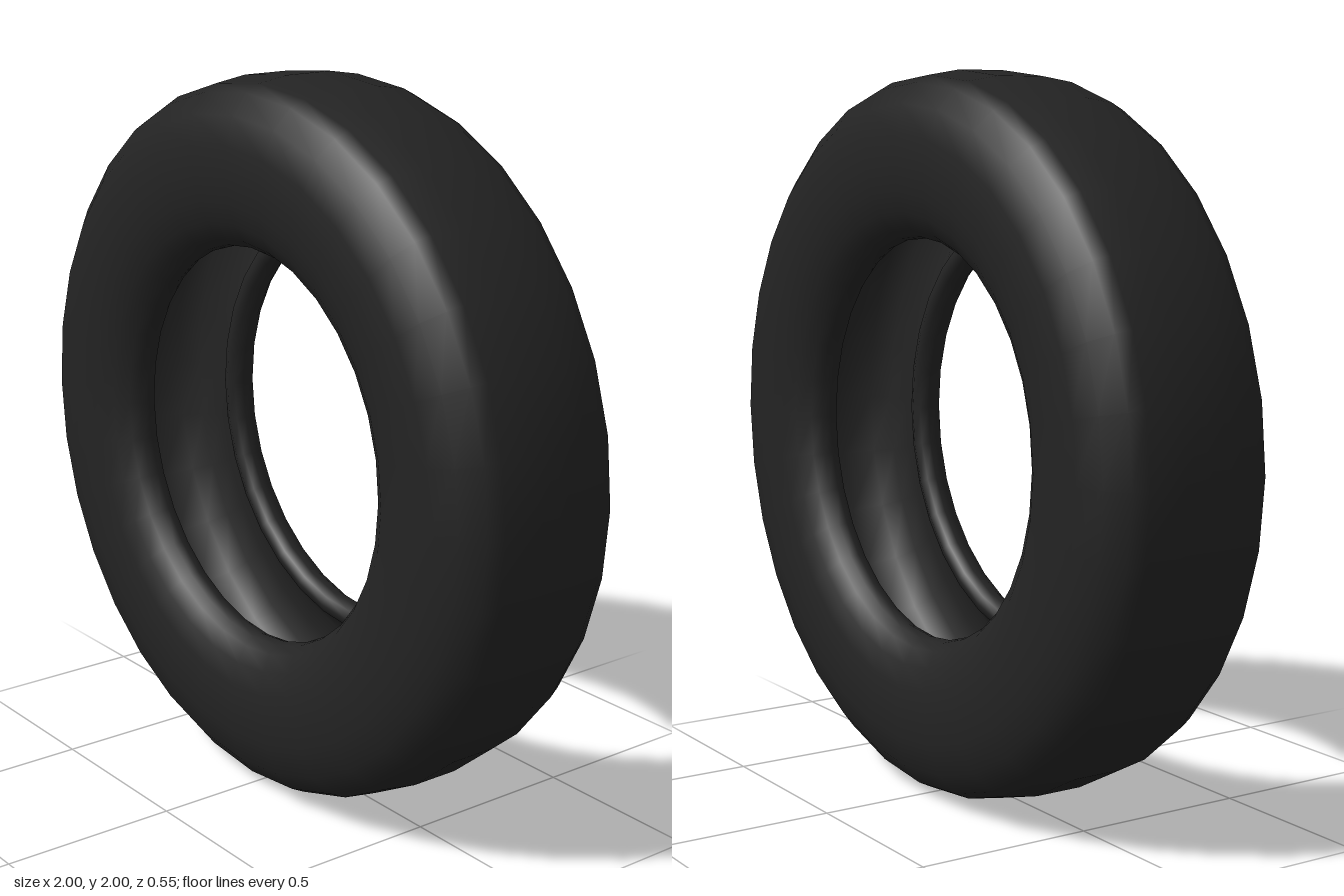
import * as THREE from 'three';

export function createModel() {
  const group = new THREE.Group();
  const rubber = new THREE.MeshStandardMaterial({ color: 0x232323 });
  rubber.name = 'black rubber';

  // Half cross-section as [radius, offset from the middle plane]
  const half = [
    // tread and shoulder
    [1, 0], [1, 0.07], [0.985, 0.165], [0.965, 0.205], [0.91, 0.25], [0.83, 0.27],
    // sidewall
    [0.75, 0.275], [0.68, 0.268], [0.62, 0.25], [0.575, 0.222],
    // rounded bead
    [0.555, 0.195], [0.55, 0.17], [0.56, 0.145], [0.585, 0.135], [0.61, 0.145], [0.62, 0.165],
    // hollow inside
    [0.68, 0.205], [0.76, 0.22], [0.84, 0.21], [0.9, 0.17], [0.935, 0.08], [0.94, 0],
  ];

  // Mirror the half into a closed loop and spin it round the axle
  const mirrored = half.slice(0, -1).reverse().map(([r, z]) => [r, -z]);
  const profile = [...half, ...mirrored].map(([r, z]) => new THREE.Vector2(r, z));
  const geometry = new THREE.LatheGeometry(profile, 32);
  geometry.rotateX(Math.PI / 2);

  const tire = new THREE.Mesh(geometry, rubber);
  tire.name = 'tire';
  tire.position.y = 1;
  group.add(tire);
  return group;
}
